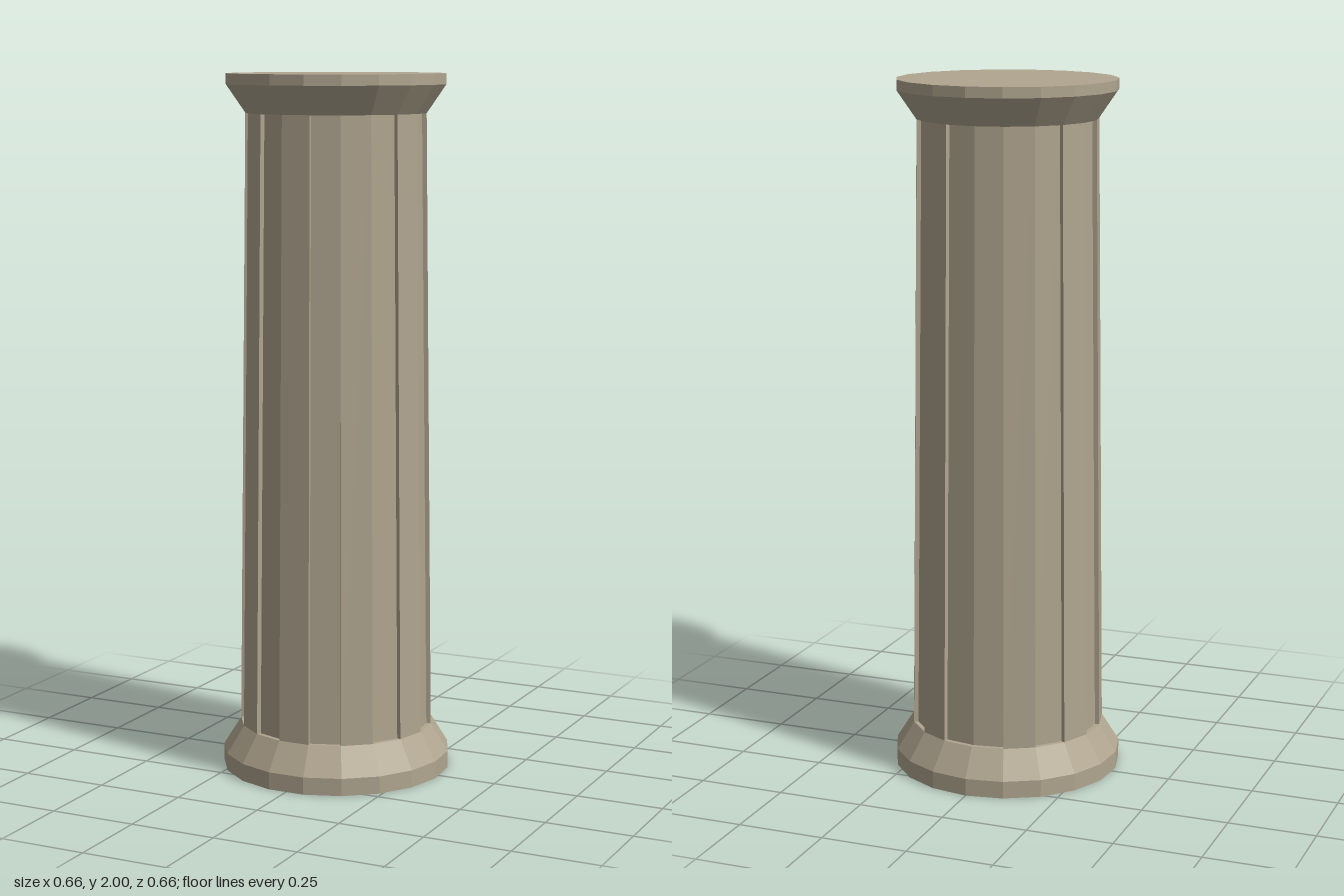
import * as THREE from 'three';

const SIDES = 19;
const STEP = (Math.PI * 2) / SIDES;

export function createModel() {
  const group = new THREE.Group();
  group.name = 'column';
  const stone = new THREE.MeshStandardMaterial({ color: 0xb0a58f, flatShading: true });
  stone.name = 'warm grey stone';

  const add = (name, geometry) => {
    const mesh = new THREE.Mesh(geometry, stone);
    mesh.name = name;
    group.add(mesh);
  };

  // Faceted ring turned from a bottom-to-top profile, with a corner at the back
  const turned = (profile) =>
    new THREE.LatheGeometry(profile.map(([r, y]) => new THREE.Vector2(r, y)), SIDES, Math.PI);

  // Base and capital
  add('base', turned([[0, 0], [0.33, 0], [0.33, 0.05], [0.28, 0.13], [0.255, 0.13]]));
  add('capital', turned([[0.235, 1.89], [0.257, 1.89], [0.312, 1.97], [0.312, 2], [0, 2]]));

  // Tapered shaft: every odd facet, counted from the front, is a shallow flute
  add('flutedShaft', shaftGeometry(0.13, 1.89, 0.28, 0.257, 0.013));
  return group;
}

function shaftGeometry(y0, y1, r0, r1, depth) {
  const positions = [];
  const point = (angle, r, y) => [Math.sin(angle) * r, y, Math.cos(angle) * r];
  const quad = (a, b, c, d) => positions.push(...a, ...b, ...c, ...a, ...c, ...d);
  // Vertical panel from (angle a, inset ia) to (angle b, inset ib)
  const panel = (a, ia, b, ib) => quad(
    point(a, r0 - ia, y0), point(b, r0 - ib, y0),
    point(b, r1 - ib, y1), point(a, r1 - ia, y1));

  const half = (SIDES - 1) / 2;
  const inset = (k) => (Math.abs(k) % 2 ? depth : 0);
  for (let k = -half; k <= half; k++) {
    const start = (k - 0.5) * STEP;
    const end = (k + 0.5) * STEP;
    panel(start, inset(k), end, inset(k));
    // Side wall of the flute
    if (k < half) panel(end, inset(k), end, inset(k + 1));
  }

  const geometry = new THREE.BufferGeometry();
  geometry.setAttribute('position', new THREE.Float32BufferAttribute(positions, 3));
  geometry.computeVertexNormals();
  return geometry;
}
